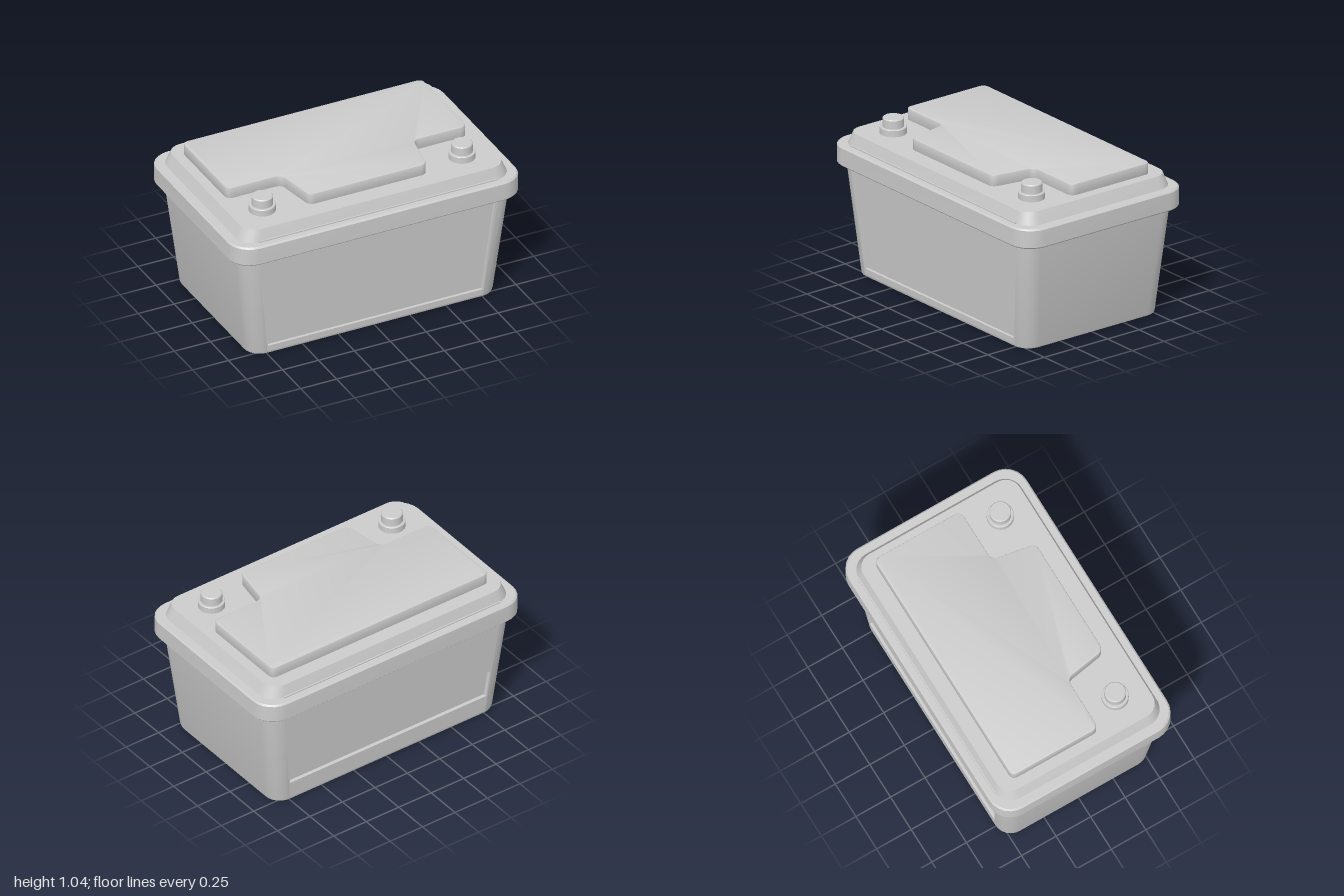
import * as THREE from 'three';
import { toCreasedNormals } from 'three/addons/utils/BufferGeometryUtils.js';

const SEG = 6; // segments per rounded corner
const Y0 = 0.02, Y1 = 0.735; // straight part of the tapered case
const CASE_R = 0.11;
const lerp = THREE.MathUtils.lerp;
const caseX = y => lerp(0.86, 0.943, (y - Y0) / (Y1 - Y0));
const caseZ = y => lerp(0.54, 0.592, (y - Y0) / (Y1 - Y0));

const material = new THREE.MeshStandardMaterial({ color: 0xcccccc });

function addMesh(parent, name, geometry) {
  const mesh = new THREE.Mesh(geometry, material);
  mesh.name = name;
  parent.add(mesh);
  return mesh;
}

// Rounded-rectangle cross-section, corner by corner
function ring([hx, hz, r, y]) {
  const points = [];
  [[1, 1], [-1, 1], [-1, -1], [1, -1]].forEach(([sx, sz], k) => {
    for (let j = 0; j <= SEG; j++) {
      const a = (k + j / SEG) * Math.PI / 2;
      points.push([sx * (hx - r) + r * Math.cos(a), y, sz * (hz - r) + r * Math.sin(a)]);
    }
  });
  return points;
}

// Skin rows of [halfX, halfZ, radius, y] from bottom to top, with flat caps.
// openRow leaves out the front and back flats of that band.
function loft(rows, openRow = -1) {
  const rings = rows.map(ring), n = rings[0].length, pos = [];
  const tri = (...pts) => pts.forEach(p => pos.push(...p));
  for (let i = 0; i < n; i++) {
    const j = (i + 1) % n;
    for (let k = 0; k < rings.length - 1; k++) {
      if (k === openRow && (i === SEG || i === 3 * SEG + 2)) continue;
      const a = rings[k], b = rings[k + 1];
      tri(a[i], b[i], a[j]);
      tri(a[j], b[i], b[j]);
    }
    const bottom = rings[0], top = rings[rings.length - 1];
    tri([0, bottom[0][1], 0], bottom[i], bottom[j]);
    tri([0, top[0][1], 0], top[j], top[i]);
  }
  const g = new THREE.BufferGeometry();
  g.setAttribute('position', new THREE.Float32BufferAttribute(pos, 3));
  return toCreasedNormals(g, 0.6);
}

// Move a flat panel onto the leaning case wall
function leanOnWall(geometry, offset) {
  const p = geometry.attributes.position;
  for (let i = 0; i < p.count; i++) p.setZ(i, p.getZ(i) + caseZ(p.getY(i)) + offset);
  geometry.computeVertexNormals();
  return geometry;
}

// Wall with a sunken trapezoid panel
function recessedWall(name, yLow, wLow, yHigh, wHigh, depth) {
  const group = new THREE.Group();
  group.name = name;
  const quad = (a, wa, b, wb) => [[-wa, a], [wa, a], [wb, b], [-wb, b]].map(p => new THREE.Vector2(...p));
  const wall = new THREE.Shape(quad(Y0, caseX(Y0) - CASE_R, Y1, caseX(Y1) - CASE_R));
  const opening = quad(yLow, wLow, yHigh, wHigh);
  wall.holes.push(new THREE.Path(opening));
  const frame = new THREE.ExtrudeGeometry(wall, { depth, bevelEnabled: false });
  addMesh(group, 'wallFrame', leanOnWall(frame, -depth));
  addMesh(group, 'recessFloor', leanOnWall(new THREE.ShapeGeometry(new THREE.Shape(opening)), -depth));
  return group;
}

// Closed outline with every corner rounded
function roundedOutline(corners, r) {
  const shape = new THREE.Shape();
  const pts = corners.map(c => new THREE.Vector2(...c));
  pts.forEach((p, i) => {
    const prev = pts[(i + pts.length - 1) % pts.length], next = pts[(i + 1) % pts.length];
    const a = prev.clone().sub(p).setLength(r).add(p);
    const b = next.clone().sub(p).setLength(r).add(p);
    if (i === 0) shape.moveTo(a.x, a.y);
    else shape.lineTo(a.x, a.y);
    shape.quadraticCurveTo(p.x, p.y, b.x, b.y);
  });
  shape.closePath();
  return shape;
}

export function createModel() {
  const model = new THREE.Group();
  model.name = 'battery';

  // Tapered case with a softened bottom edge
  addMesh(model, 'case', loft([
    [0.842, 0.522, 0.092, 0],
    [0.855, 0.535, 0.105, 0.006],
    [caseX(Y0), caseZ(Y0), CASE_R, Y0],
    [caseX(Y1), caseZ(Y1), CASE_R, Y1],
  ], 2));

  // Large front label recess and low back grip recess
  model.add(recessedWall('frontWall', 0.06, 0.745, 0.70, 0.81, 0.02));
  const back = recessedWall('backWall', 0.14, 0.755, 0.33, 0.775, 0.025);
  back.rotation.y = Math.PI;
  model.add(back);

  // Lid: overhanging rim, then a sloped shoulder
  addMesh(model, 'lid', loft([
    [0.99, 0.633, 0.14, 0.73],
    [1, 0.643, 0.15, 0.74],
    [1, 0.643, 0.15, 0.852],
    [0.99, 0.633, 0.14, 0.862],
    [0.938, 0.589, 0.12, 0.862],
    [0.903, 0.565, 0.1, 0.94],
  ]));

  // Thin ridges along the foot of the shoulder
  for (const s of [1, -1]) {
    const ridge = addMesh(model, s > 0 ? 'frontRidge' : 'backRidge', new THREE.BoxGeometry(1.66, 0.01, 0.02));
    ridge.position.set(0, 0.865, s * 0.586);
  }

  // Raised top cover with a tongue between the terminals
  const half = [[0.41, -0.445], [0.46, -0.155], [0.835, -0.155], [0.835, 0.47]];
  const outline = [...half, ...half.map(([x, y]) => [-x, y]).reverse()];
  const cover = new THREE.ExtrudeGeometry(roundedOutline(outline, 0.045), {
    depth: 0.075, bevelThickness: 0.008, bevelSize: 0.008, bevelOffset: -0.008, bevelSegments: 2, curveSegments: 6,
  });
  cover.rotateX(-Math.PI / 2);
  addMesh(model, 'topCover', toCreasedNormals(cover, 0.6)).position.y = 0.932;

  // Stepped terminal posts
  const profile = [
    [0.085, 0.93], [0.085, 0.981], [0.081, 0.985], [0.068, 0.985],
    [0.068, 1.039], [0.062, 1.045], [0, 1.045],
  ].map(p => new THREE.Vector2(...p));
  const post = toCreasedNormals(new THREE.LatheGeometry(profile, 24), 0.6);
  for (const s of [1, -1]) {
    addMesh(model, s > 0 ? 'leftTerminal' : 'rightTerminal', post).position.set(s * 0.695, 0, 0.36);
  }

  return model;
}
